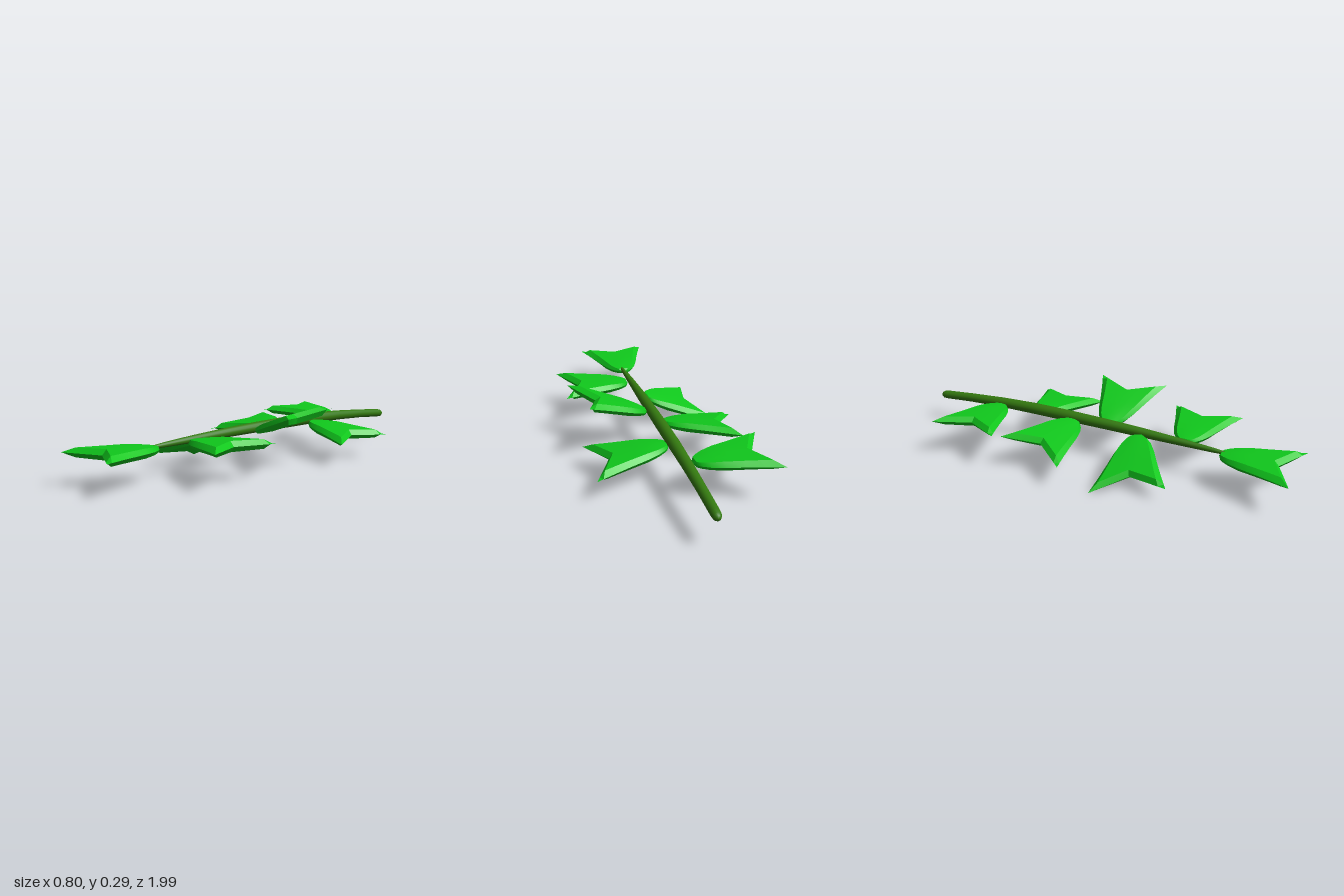
import * as THREE from 'three';
import { mergeVertices, toCreasedNormals } from 'three/addons/utils/BufferGeometryUtils.js';

const leafMaterial = new THREE.MeshStandardMaterial({ color: 0x10c81c });
const stemMaterial = new THREE.MeshStandardMaterial({ color: 0x347a10 });

const LENGTH = 0.37, NOTCH = 0.28, HALF_WIDTH = 0.18, HALF_THICK = 0.025;

// Half width of the leaflet at a distance from its base
const WIDTHS = [[0, 0.012], [0.008, 0.03], [0.025, 0.05], [0.06, 0.074], [0.12, 0.098], [0.2, 0.122], [0.28, 0.148], [0.37, 0.18]];
function halfWidth(u) {
  for (let i = 1; i < WIDTHS.length; i++) {
    const [a, wa] = WIDTHS[i - 1], [b, wb] = WIDTHS[i];
    if (u <= b) return wa + (wb - wa) * (u - a) / (b - a);
  }
  return HALF_WIDTH;
}

// Thick fishtail leaflet along +z: top and bottom skins meeting at a bevelled rim
function leafGeometry() {
  const rows = [0, 0.03, 0.08, 0.17, 0.33, 0.55, 0.76, 0.92, 1];
  const cols = [-1, -0.8, -0.4, 0, 0.4, 0.8, 1];
  const positions = [], index = [];
  const n = cols.length;
  for (const side of [1, -1]) {
    const start = positions.length / 3;
    for (const s of rows) {
      for (const t of cols) {
        const k = Math.abs(t);
        const u = s * (NOTCH + (LENGTH - NOTCH) * k);
        const rim = k === 1 || s === 0 || s === 1;
        const rise = Math.min(1, 0.55 + s * 1.5) * (1 - 0.15 * k);
        positions.push(t * halfWidth(s * LENGTH), rim ? 0 : side * HALF_THICK * rise, u);
      }
    }
    for (let i = 0; i < rows.length - 1; i++) {
      for (let j = 0; j < n - 1; j++) {
        const a = start + i * n + j, b = a + 1, c = a + n, d = c + 1;
        if (side > 0) index.push(a, c, b, b, c, d);
        else index.push(a, b, c, b, d, c);
      }
    }
  }
  const g = new THREE.BufferGeometry();
  g.setAttribute('position', new THREE.Float32BufferAttribute(positions, 3));
  g.setIndex(index);
  return mergeVertices(g);
}

// Lay a leaflet between its base and its two tips
function makeLeaf(name, base, tip1, tip2) {
  const [o, p, q] = [base, tip1, tip2].map(a => new THREE.Vector3(...a));
  const along = p.clone().add(q).multiplyScalar(0.5).sub(o);
  const across = q.clone().sub(p).multiplyScalar(0.5);
  const up = along.clone().cross(across).normalize();
  if (up.y < 0) { up.negate(); across.negate(); }
  along.divideScalar(LENGTH);
  across.divideScalar(HALF_WIDTH);
  const g = leafGeometry();
  g.applyMatrix4(new THREE.Matrix4().makeBasis(across, up, along).setPosition(o));
  const mesh = new THREE.Mesh(toCreasedNormals(g, 0.45), leafMaterial);
  mesh.name = name;
  return mesh;
}

// Tapered stem with a rounded back end, arching gently along z
function makeStem() {
  const profile = [[0, -1], [0.013, -0.997], [0.02, -0.985], [0.022, -0.96], [0.023, -0.8], [0.026, -0.6], [0.029, -0.4],
    [0.029, -0.2], [0.027, 0], [0.024, 0.2], [0.018, 0.42], [0.012, 0.58], [0.007, 0.66], [0, 0.67]];
  const g = new THREE.LatheGeometry(profile.map(([r, z]) => new THREE.Vector2(r, z)), 16);
  g.rotateX(Math.PI / 2);
  const pos = g.attributes.position;
  for (let i = 0; i < pos.count; i++) {
    const d = pos.getZ(i) + 0.35;
    const lift = d < 0 ? 0.182 - 0.032 * (d / 0.65) ** 2 : 0.182 - 0.022 * (d / 1.02) ** 2;
    pos.setXYZ(i, pos.getX(i) + 0.01, pos.getY(i) + lift, pos.getZ(i));
  }
  g.computeVertexNormals();
  const mesh = new THREE.Mesh(g, stemMaterial);
  mesh.name = 'stem';
  return mesh;
}

export function createModel() {
  const group = new THREE.Group();
  group.name = 'leafyBranch';
  group.add(makeStem());
  // Name, base, first tip, second tip
  const leaves = [
    ['endLeaf', [0.005, 0.152, 0.62], [-0.18, 0.158, 0.99], [0.185, 0.162, 0.99]],
    ['rightLeafBack', [-0.02, 0.175, -0.58], [-0.385, 0.192, -0.76], [-0.385, 0.19, -0.4]],
    ['rightLeafMiddle', [-0.01, 0.17, -0.14], [-0.335, 0.17, -0.385], [-0.4, 0.118, -0.03]],
    ['rightLeafFront', [-0.01, 0.165, 0.2], [-0.378, 0.008, 0.12], [-0.293, 0.078, 0.47]],
    ['leftLeafBack', [0.03, 0.165, -0.37], [0.395, 0.122, -0.55], [0.395, 0.114, -0.19]],
    ['leftLeafMiddle', [0.03, 0.165, 0.02], [0.35, 0.293, -0.17], [0.398, 0.278, 0.185]],
    ['leftLeafFront', [0.03, 0.162, 0.43], [0.395, 0.178, 0.245], [0.395, 0.178, 0.61]],
  ];
  for (const leaf of leaves) group.add(makeLeaf(...leaf));
  return group;
}
